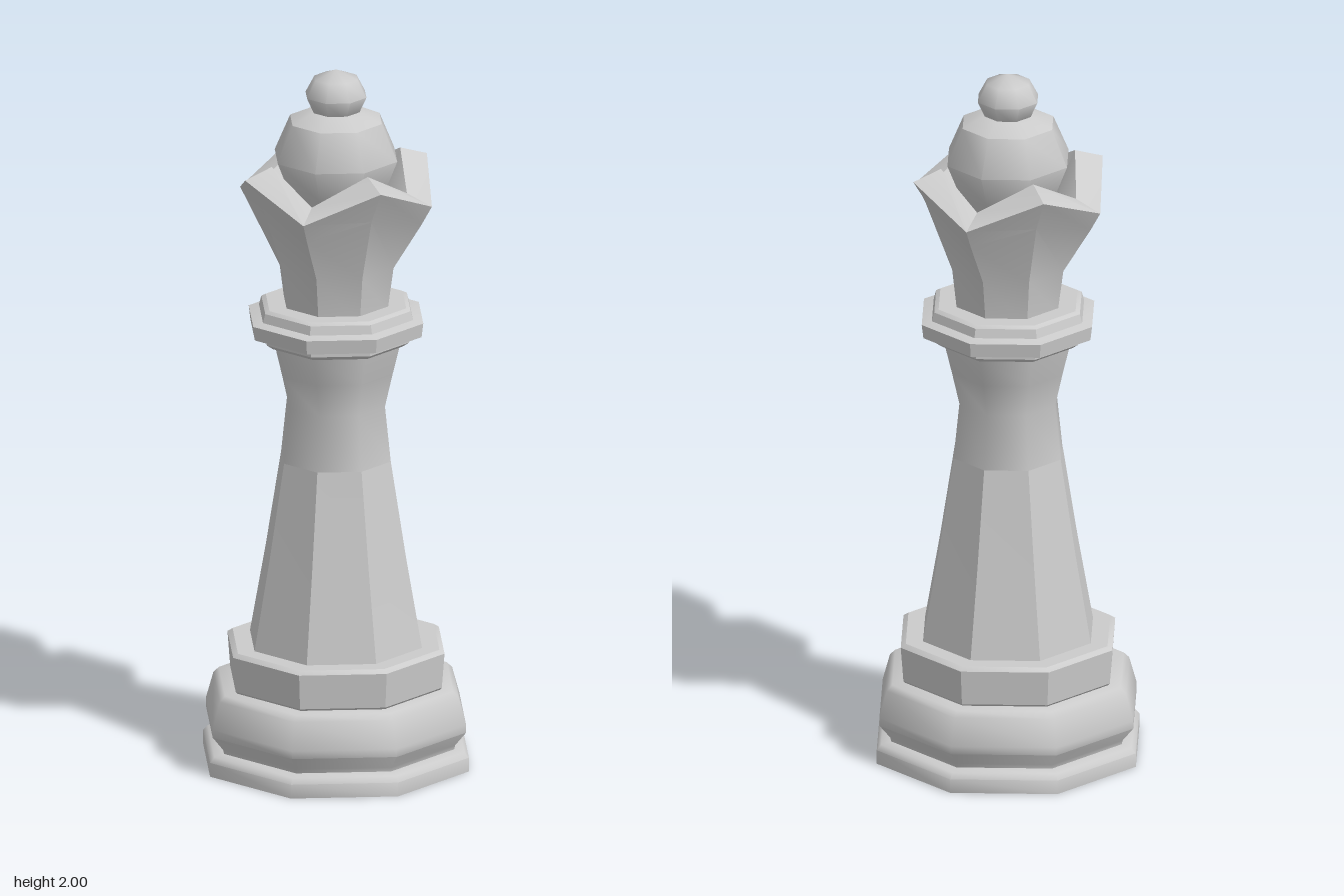
import * as THREE from 'three';
import { toCreasedNormals } from 'three/addons/utils/BufferGeometryUtils.js';

const SIDES = 8;
const SMOOTH = 0.9; // keeps the eight sides blended
const FACETED = 0.5; // shows the eight sides as flat faces

const material = new THREE.MeshStandardMaterial({ color: 0xcccccc });

// Octagonal turned part from [radius, height] pairs, bottom to top
function turned(name, profile, crease, reshape) {
  const points = profile.map(([r, y]) => new THREE.Vector2(r, y));
  const lathe = new THREE.LatheGeometry(points, SIDES);
  if (reshape) reshape(lathe.attributes.position, points.length);
  const mesh = new THREE.Mesh(toCreasedNormals(lathe, crease), material);
  mesh.name = name;
  return mesh;
}

// Crown: four points on the axes, four valleys on the diagonals
function makeCrown() {
  const tips = [
    [0.15, 1.31], [0.165, 1.44], [0.222, 1.62],
    [0.28, 1.717], [0.198, 1.745], [0.13, 1.6],
  ];
  const valleys = [
    [0.15, 1.31], [0.168, 1.44], [0.25, 1.575],
    [0.28, 1.63], [0.207, 1.662], [0.13, 1.6],
  ];
  return turned('crown', tips, FACETED, (position, rings) => {
    for (let side = 1; side < SIDES; side += 2) {
      const angle = (side / SIDES) * Math.PI * 2;
      valleys.forEach(([r, y], i) => {
        position.setXYZ(side * rings + i, r * Math.sin(angle), y, r * Math.cos(angle));
      });
    }
  });
}

export function createModel() {
  const group = new THREE.Group();
  group.name = 'chessQueen';

  group.add(
    // Foot with a groove and a swelling above it
    turned('foot', [
      [0, 0], [0.388, 0], [0.388, 0.04], [0.375, 0.055], [0.345, 0.06],
      [0.348, 0.072], [0.38, 0.112], [0.38, 0.135], [0.358, 0.212],
      [0.342, 0.228], [0.25, 0.23],
    ], SMOOTH),
    // Straight-sided step
    turned('baseStep', [
      [0.3, 0.225], [0.309, 0.235], [0.317, 0.335], [0.302, 0.345], [0.2, 0.345],
    ], FACETED),
    // Tapered shaft, then the flared neck
    turned('shaft', [
      [0.252, 0.34], [0.205, 0.6], [0.16, 0.877],
    ], FACETED),
    turned('neck', [
      [0.16, 0.877], [0.143, 1.035], [0.165, 1.13], [0.186, 1.215], [0.19, 1.24],
    ], SMOOTH),
    // Stepped collar
    turned('collar', [
      [0.15, 1.215], [0.195, 1.215], [0.213, 1.228], [0.213, 1.245],
      [0.25, 1.248], [0.255, 1.288], [0.225, 1.295], [0.218, 1.32],
      [0.205, 1.327], [0.1, 1.327],
    ], FACETED),
    makeCrown(),
    // Dome within the crown, its sloping cap and the bead on top
    turned('dome', [
      [0.1, 1.58], [0.143, 1.66], [0.179, 1.75], [0.134, 1.855],
    ], SMOOTH),
    turned('domeCap', [[0.134, 1.855], [0.075, 1.882], [0, 1.89]], FACETED),
    turned('bead', [
      [0, 1.84], [0.062, 1.868], [0.089, 1.927], [0.063, 1.976], [0, 2],
    ], SMOOTH),
  );
  return group;
}
